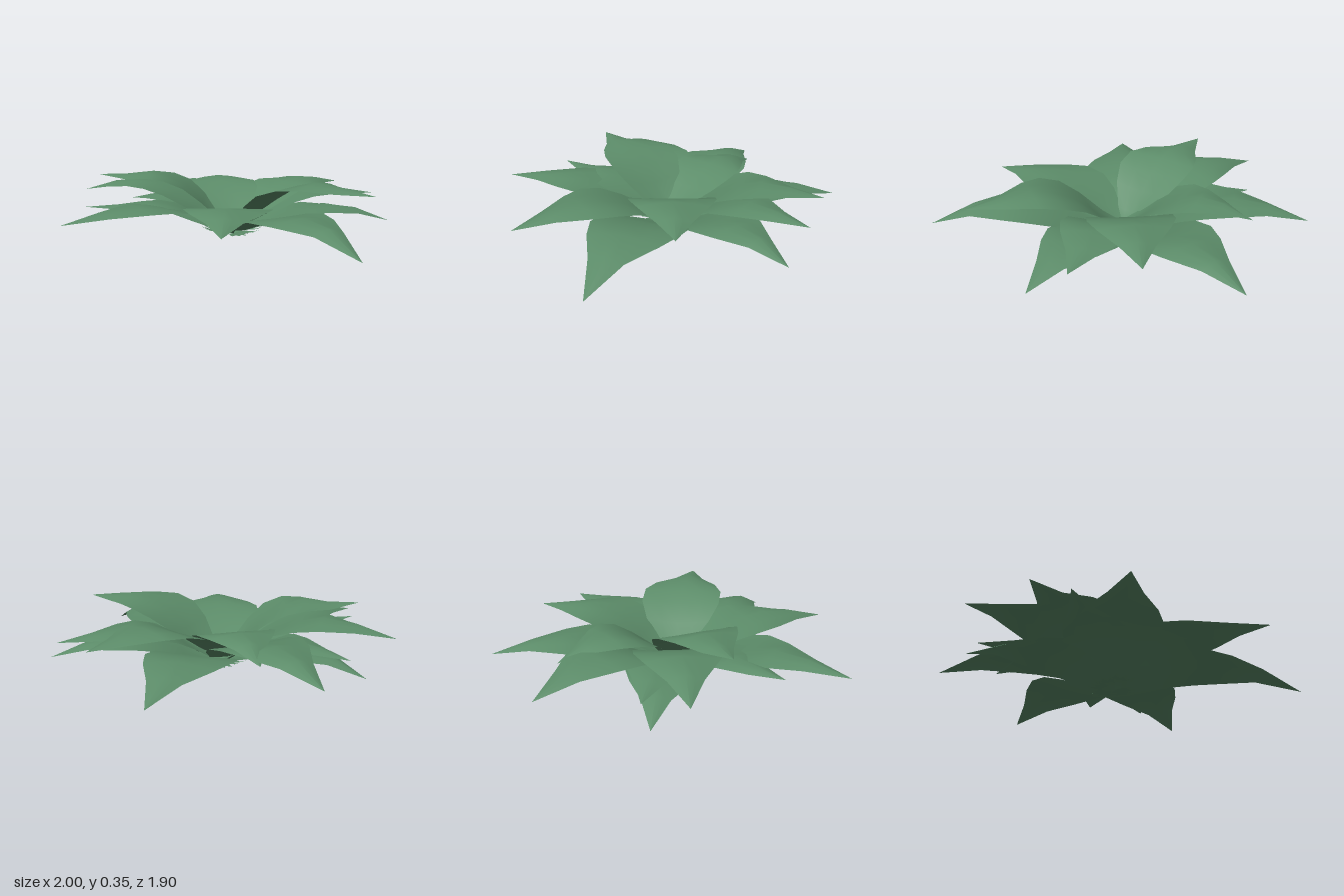
import * as THREE from 'three';

const CENTRE = { x: -0.06, z: -0.07 };

// Base height of each tier, then per leaf: tip x, tip y, tip z, peak height of the midrib, width factor
const TIERS = {
  upperLeaf: [0.055, [
    [-0.59, 0.335, 0.47, 0.355, 1.14],
    [0.78, 0.28, -0.29, 0.33, 1.03],
    [-0.03, 0.235, -0.915, 0.29, 1.05],
    [0.61, 0.16, 0.59, 0.235, 0.98],
  ]],
  middleLeaf: [0.035, [
    [-0.89, 0.21, 0.38, 0.295, 0.97],
    [0.3, 0.2, -0.86, 0.25, 0.97],
    [-0.19, 0.15, 0.945, 0.215, 0.87],
    [-1.0, 0.15, -0.36, 0.25, 0.95],
    [-0.41, 0.19, 0.67, 0.205, 0.85],
  ]],
  lowerLeaf: [0.015, [
    [-0.81, 0.14, 0.1, 0.195, 0.95],
    [0.995, 0.04, 0.08, 0.185, 0.92],
    [-0.5, 0.09, -0.955, 0.185, 0.92],
    [0.49, 0.065, -0.78, 0.165, 0.93],
    [-0.86, 0.04, 0.17, 0.15, 0.92],
  ]],
  innerLeaf: [0.075, [[-0.68, 0.2, -0.42, 0.285, 1.15]]],
};

// Rows along a leaf: position, half width / length, share of the peak height
const ROWS = [
  [0, 0.012, 0], [0.1, 0.11, 0.12], [0.22, 0.2, 0.44], [0.34, 0.25, 0.72],
  [0.47, 0.25, 0.9], [0.6, 0.2, 1], [0.78, 0.095, 0.96], [1, 0, 0],
];
const COLS = [-1, -0.5, 0, 0.5, 1];

// Curved blade running from the crown to its tip, cupped near the base and ridged further out
function leafGeometry(base, [tx, ty, tz, peak, width]) {
  const dx = tx - CENTRE.x, dz = tz - CENTRE.z;
  const length = Math.hypot(dx, dz);
  const pos = [], index = [];
  for (const [t, half, rise] of ROWS) {
    const rib = t === 1 ? ty : base + (peak - base) * rise + (ty - peak) * Math.max(0, t - 0.6) * 0.8;
    for (const u of COLS) {
      const side = u * half * width;
      const bend = t < 0.45 ? 1.3 * peak * (0.45 - t) : Math.max(0.45 - t, -0.3);
      const cup = Math.abs(side) * length * Math.sqrt(Math.abs(u)) * bend;
      pos.push(CENTRE.x + dx * t - dz * side, rib + cup, CENTRE.z + dz * t + dx * side);
    }
  }
  const n = COLS.length;
  for (let r = 0; r < ROWS.length - 1; r++) {
    for (let c = 0; c < n - 1; c++) {
      const a = r * n + c, b = a + 1, d = a + n, e = d + 1;
      index.push(a, b, d);
      if (r < ROWS.length - 2) index.push(b, e, d); // tip row closes to a point
    }
  }
  const g = new THREE.BufferGeometry();
  g.setAttribute('position', new THREE.Float32BufferAttribute(pos, 3));
  g.setIndex(index);
  g.computeVertexNormals();
  return g;
}

export function createModel() {
  const model = new THREE.Group();
  model.name = 'rosettePlant';
  const green = new THREE.MeshStandardMaterial({ color: 0x5c8c69, side: THREE.DoubleSide });
  const add = (geometry, name) => {
    const mesh = new THREE.Mesh(geometry, green);
    mesh.name = name;
    model.add(mesh);
  };

  // Large leaves, tier by tier
  for (const [name, [base, list]] of Object.entries(TIERS)) {
    list.forEach((leaf, i) => add(leafGeometry(base, leaf), `${name}${i + 1}`));
  }

  // Small narrow bracts beneath the crown, the outer ones flatter
  for (let i = 0; i < 24; i++) {
    const a = i * 2.4, tier = i % 4;
    const r = 0.14 + 0.02 * tier, y = 0.012 + 0.017 * tier;
    const bract = [CENTRE.x + Math.cos(a) * r, y, CENTRE.z + Math.sin(a) * r, y * 0.65, 0.5];
    add(leafGeometry(0.002, bract), `crownBract${i + 1}`);
  }
  return model;
}
